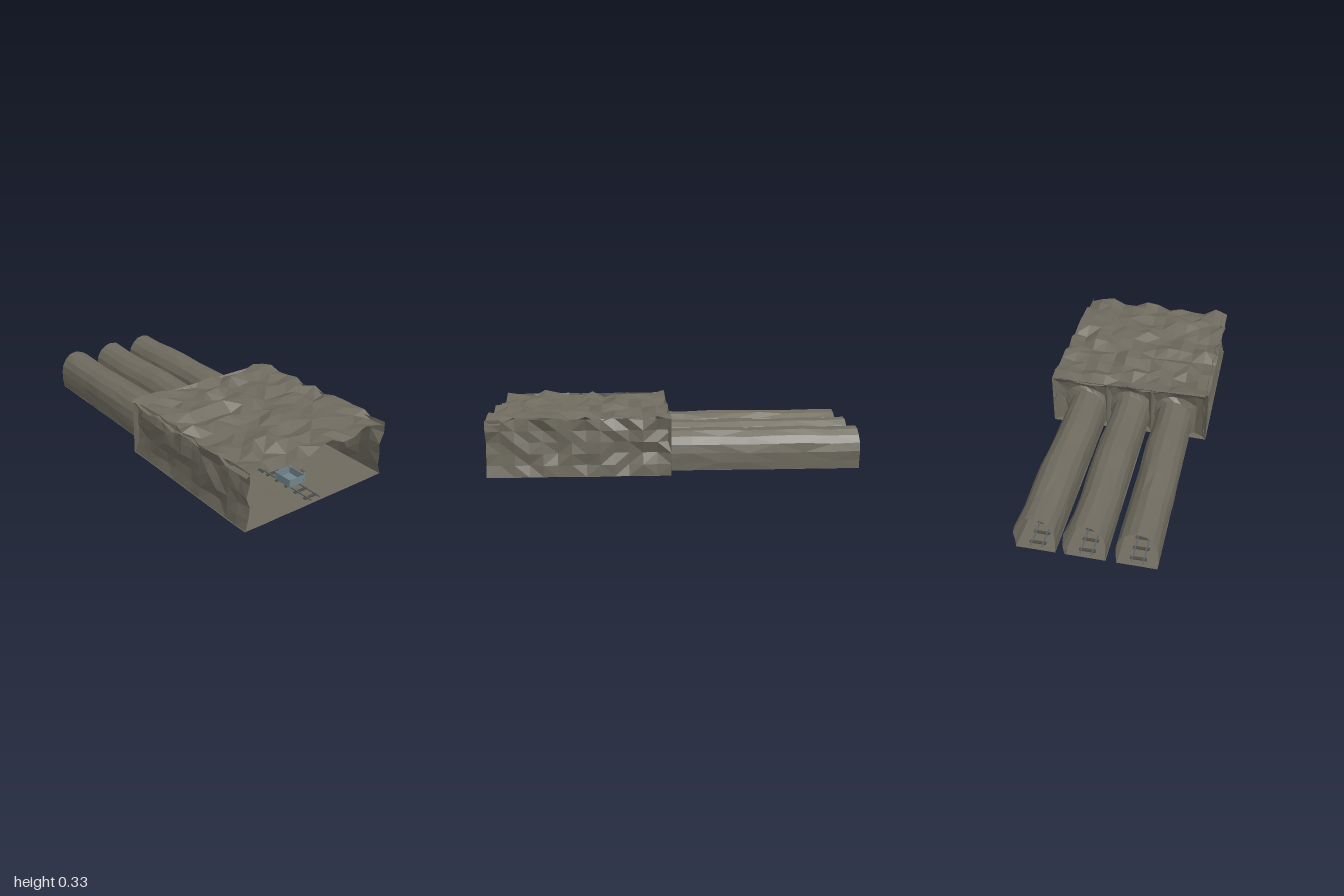
import * as THREE from 'three';

let seed = 7;
const rand = () => {
  seed = (seed * 16807) % 2147483647;
  return seed / 2147483647;
};
const jit = (a) => (rand() - 0.5) * 2 * a;

const mat = (name, color, extra = {}) => {
  const m = new THREE.MeshStandardMaterial({ color, flatShading: true, ...extra });
  m.name = name;
  return m;
};

// Sheet of (nu x nv) cells whose corners come from f(i, j)
function sheet(nu, nv, f) {
  const pos = [], index = [];
  for (let j = 0; j <= nv; j++) for (let i = 0; i <= nu; i++) pos.push(...f(i, j));
  for (let j = 0; j < nv; j++) for (let i = 0; i < nu; i++) {
    const a = j * (nu + 1) + i, b = a + 1, c = a + nu + 1, d = c + 1;
    if (rand() < 0.5) index.push(a, c, b, b, c, d);
    else index.push(a, c, d, a, d, b);
  }
  const g = new THREE.BufferGeometry();
  g.setAttribute('position', new THREE.Float32BufferAttribute(pos, 3));
  g.setIndex(index);
  g.computeVertexNormals();
  return g;
}

export function createModel() {
  seed = 7;
  const root = new THREE.Group();
  root.name = 'mineCave';
  const stone = mat('caveStone', 0x6e6a5e, { side: THREE.DoubleSide });
  const rockMat = mat('looseRock', 0x66625a);
  const wood = mat('sleeperWood', 0x4f4a42);
  const steel = mat('railSteel', 0x59646a);
  const cartMat = mat('cartMetal', 0x6f838c);
  const add = (name, geo, m, parent = root) => {
    const mesh = new THREE.Mesh(geo, m);
    mesh.name = name;
    parent.add(mesh);
    return mesh;
  };

  const W = 0.46, Z0 = 0.035, Z1 = 1, FLOOR = 0.006, TOP = 0.31;
  const zAt = (t) => Z0 + (Z1 - Z0) * t;

  // Chamber floor, roof and side walls
  add('floor', sheet(8, 8, (i, j) => [-W + (2 * W * i) / 8, FLOOR + jit(0.002), zAt(j / 8)]), stone);
  add('roof', sheet(12, 13, (i, j) => [
    -W + (2 * W * i) / 12, 0.28 + 0.05 * rand(), zAt(j / 13)]), stone);
  for (const s of [-1, 1]) {
    add(s > 0 ? 'leftWall' : 'rightWall', sheet(13, 5, (i, j) => [
      s * (W - (j === 0 ? 0.004 : 0.03 * rand())), FLOOR + (TOP - FLOOR) * j / 5, zAt(i / 13)]), stone);
  }

  // Arch section: straight legs with a rounded crown
  const N = 12, HALF = 0.107;
  const arch = (i) => {
    if (i === 0 || i === N) return [i ? HALF - 0.006 : -HALF + 0.006, FLOOR];
    if (i === 1 || i === N - 1) return [i > 1 ? HALF - 0.002 : -HALF + 0.002, 0.05];
    const a = Math.PI * (1 - (i - 2) / 8);
    return [Math.cos(a) * HALF, 0.1 + Math.sin(a) * 0.122];
  };
  // Matching point on the rectangular wall panel around an arch
  const panel = (i, l, r) => {
    if (i < 3) return [l, FLOOR + (TOP - FLOOR) * i / 3];
    if (i > 9) return [r, FLOOR + (TOP - FLOOR) * (N - i) / 3];
    return [l + (r - l) * (i - 3) / 6, TOP];
  };

  const bays = [
    { name: 'right', x: -0.26, l: -W, r: -0.132 },
    { name: 'middle', x: 0, l: -0.132, r: 0.132 },
    { name: 'left', x: 0.257, l: 0.132, r: W },
  ];
  for (const { name, x, l, r } of bays) {
    // Tunnel vault, slightly wavy along its length
    const ROWS = 7, start = 0.07;
    let dx = 0, s = 1;
    add(name + 'Tunnel', sheet(N, ROWS, (i, j) => {
      if (i === 0) {
        dx = j ? jit(0.004) : 0;
        s = j ? 1 + jit(0.022) : 1;
      }
      const [ax, ay] = arch(i);
      const n = j && i > 0 && i < N ? 0.003 : 0;
      return [x + dx + ax * s + jit(n), Math.max(FLOOR, ay * s + jit(n)),
        start + (-1 - start) * j / ROWS];
    }), stone);
    add(name + 'TunnelFloor', sheet(2, ROWS, (i, j) => [
      x + (i - 1) * (HALF - 0.004), FLOOR + jit(0.001), Z0 + (-1 - Z0) * j / ROWS]), stone);

    // Back wall panel flaring out from the tunnel mouth, forming the pillars
    add(name + 'ArchWall', sheet(N, 3, (i, j) => {
      const [ax, ay] = arch(i), [px, py] = panel(i, l, r);
      const t = [0, 0.3, 0.72, 1][j], n = j === 1 || j === 2 ? 0.006 : 0;
      const z = [start, 0.085, 0.065, Z0][j];
      return [x + ax + (px - x - ax) * t + jit(n),
        Math.max(FLOOR, ay + (py - ay) * t + (i % N ? jit(n) : 0)), z + jit(n)];
    }), stone);
  }

  // Tracks: a straight centre line and two branches into the side tunnels
  const V = (x, z) => new THREE.Vector3(x, 0, z);
  const track = (name, path) => {
    const g = new THREE.Group();
    g.name = name;
    root.add(g);
    const len = path.getLength();
    const count = Math.round(len / 0.07);
    for (let k = 0; k < count; k++) {
      const u = (k + 0.5) / count, p = path.getPointAt(u), d = path.getTangentAt(u);
      const tie = add('sleeper', new THREE.BoxGeometry(0.084, 0.006, 0.016), wood, g);
      tie.position.set(p.x, 0.011, p.z);
      tie.rotation.y = Math.atan2(d.x, d.z);
    }
    const steps = 24;
    for (const side of [-0.029, 0.029]) {
      const pts = [];
      for (let k = 0; k <= steps; k++) {
        const p = path.getPointAt(k / steps), d = path.getTangentAt(k / steps);
        pts.push([p.x + d.z * side, p.z - d.x * side, d.z, d.x]);
      }
      // Square rail swept along the offset path
      const corners = [[-1, 0], [-1, 1], [1, 1], [1, 0], [-1, 0]];
      const geo = sheet(4, steps, (i, j) => {
        const [px, pz, nx, nz] = pts[j], o = corners[i][0] * 0.003;
        return [px + nx * o, 0.014 + corners[i][1] * 0.006, pz - nz * o];
      });
      add('rail', geo, railMat, g);
    }
  };
  const railMat = steel;
  railMat.side = THREE.DoubleSide;
  track('middleTrack', new THREE.LineCurve3(V(0, 0.99), V(0, -0.99)));
  for (const x of [-0.26, 0.257]) {
    const path = new THREE.CurvePath();
    path.add(new THREE.CubicBezierCurve3(V(0, 0.66), V(0, 0.38), V(x, 0.42), V(x, 0.1)));
    path.add(new THREE.LineCurve3(V(x, 0.1), V(x, -0.99)));
    track(x < 0 ? 'rightTrack' : 'leftTrack', path);
  }

  // Open mine cart with corner posts
  const cart = new THREE.Group();
  cart.name = 'mineCart';
  cart.position.set(0, 0.028, 0.8);
  root.add(cart);
  const box = (name, w, h, d, x, y, z) =>
    add(name, new THREE.BoxGeometry(w, h, d), cartMat, cart).position.set(x, y, z);
  box('cartBottom', 0.1, 0.004, 0.11, 0, 0.002, 0);
  for (const s of [-1, 1]) {
    box('cartSide', 0.004, 0.04, 0.11, s * 0.049, 0.022, 0);
    box('cartEnd', 0.1, 0.04, 0.004, 0, 0.022, s * 0.054);
    for (const e of [-1, 1]) box('cartPost', 0.008, 0.044, 0.008, s * 0.049, 0.024, e * 0.053);
  }

  // Loose rocks along the pillar lines
  const rock = (x, z, r) => {
    const m = add('rock', new THREE.DodecahedronGeometry(r, 0), rockMat);
    m.position.set(x, FLOOR + r * 0.65, z);
    m.scale.set(1.2, 0.85, 1);
    m.rotation.y = rand() * 6;
  };
  for (const [x, zs] of [
    [-0.147, [0.64, 0.53, 0.4, 0.27, 0.13]], [0.15, [0.75, 0.6, 0.46, 0.3, 0.13]],
    [-0.415, [0.38, 0.24, 0.13]], [0.41, [0.4, 0.26, 0.13]],
  ]) {
    for (const z of zs) rock(x + jit(0.02), z, 0.011 + rand() * 0.004);
  }
  return root;
}
